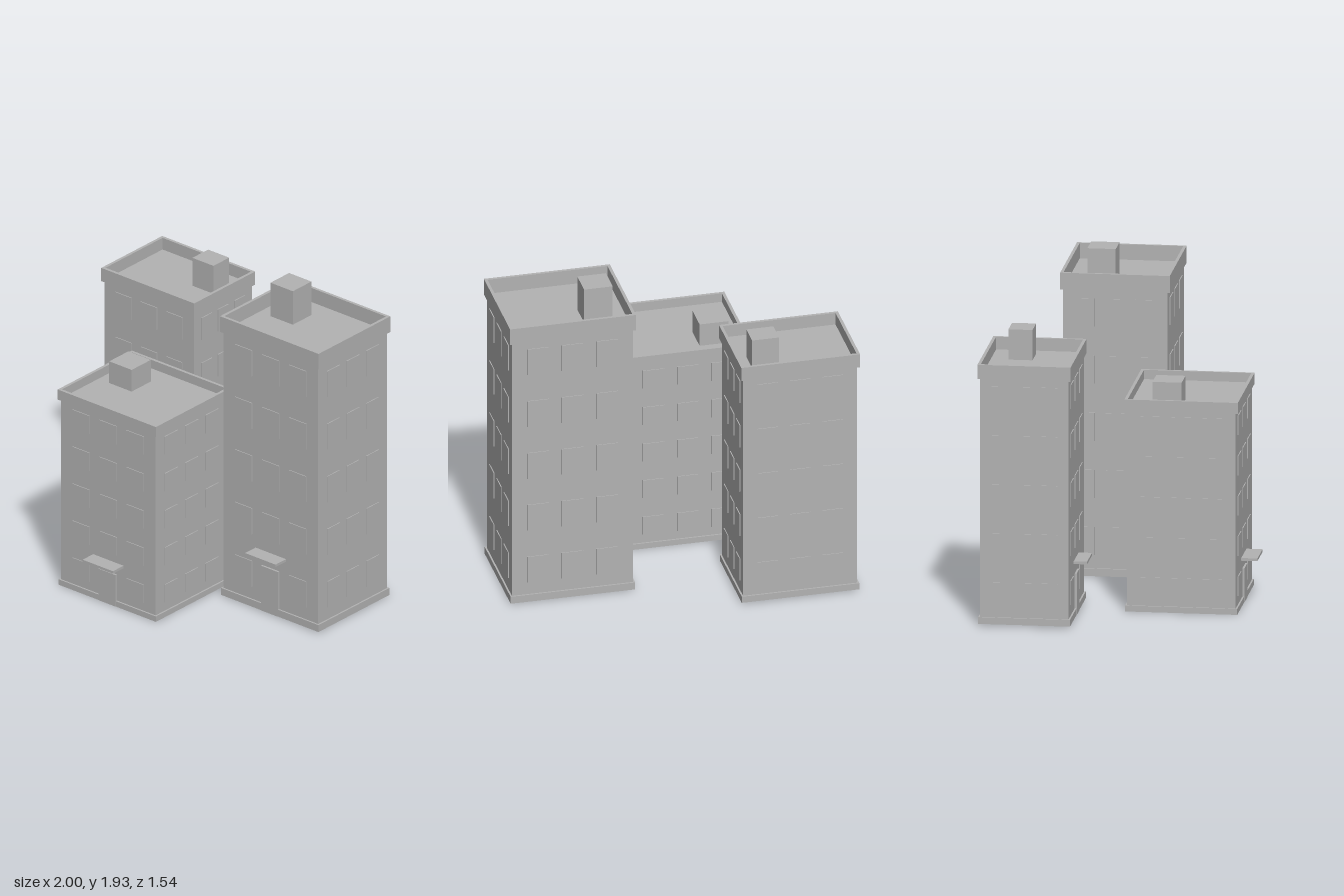
import * as THREE from 'three';

const grey = new THREE.MeshStandardMaterial({ color: 0xb3b3b3 });
grey.name = 'concrete grey';

// Box given by its min and max on each axis
function slab(parent, name, x0, x1, y0, y1, z0, z1) {
  const mesh = new THREE.Mesh(new THREE.BoxGeometry(x1 - x0, y1 - y0, z1 - z0), grey);
  mesh.position.set((x0 + x1) / 2, (y0 + y1) / 2, (z0 + z1) / 2);
  mesh.name = name;
  parent.add(mesh);
  return mesh;
}

const FLOORS = 5;
const COLUMNS = [-0.285, 0, 0.285];
const PLATE = 0.005;

function building(b) {
  const g = new THREE.Group();
  g.name = b.name;
  const [x0, x1] = b.x, [z0, z1] = b.z;
  const w = x1 - x0, d = z1 - z0, cx = (x0 + x1) / 2, cz = (z0 + z1) / 2;

  // Walls and plinth
  slab(g, 'walls', x0, x1, b.bottom, b.rim[0] + 0.01, z0, z1);
  const o = 0.01;
  slab(g, 'plinth', x0 - o, x1 + o, b.bottom, b.baseTop, z0 - o, z1 + o);

  // Parapet: a square ring around the roof
  const p = 0.014, t = 0.018;
  const ring = new THREE.Shape();
  ring.moveTo(-w / 2 - p, -d / 2 - p).lineTo(w / 2 + p, -d / 2 - p)
    .lineTo(w / 2 + p, d / 2 + p).lineTo(-w / 2 - p, d / 2 + p).closePath();
  const hole = new THREE.Path();
  const hx = w / 2 + p - t, hz = d / 2 + p - t;
  hole.moveTo(-hx, -hz).lineTo(-hx, hz).lineTo(hx, hz).lineTo(hx, -hz).closePath();
  ring.holes.push(hole);
  const geo = new THREE.ExtrudeGeometry(ring, { depth: b.rim[1] - b.rim[0], bevelEnabled: false });
  geo.rotateX(-Math.PI / 2);
  const parapet = new THREE.Mesh(geo, grey);
  parapet.position.set(cx, b.rim[0], cz);
  parapet.name = 'parapet';
  g.add(parapet);

  // Roof stair box
  const r = b.roofBox;
  slab(g, 'roofBox', r[0], r[1], b.rim[0], r[4], r[2], r[3]);

  // Windows: three columns on each wall, door in place of the middle one at the front
  const storey = (b.rim[0] - b.bottom) / FLOORS, hh = storey * 0.245;
  for (let i = 0; i < FLOORS; i++) {
    const y = b.bottom + storey * (i + 0.61);
    for (const c of COLUMNS) {
      const x = cx + c * w, z = cz + c * d, wx = w * 0.09, wz = d * 0.09;
      if (i > 0 || c !== 0) slab(g, 'frontWindow', x - wx, x + wx, y - hh, y + hh, z1, z1 + PLATE);
      slab(g, 'backWindow', x - wx, x + wx, y - hh, y + hh, z0 - PLATE, z0);
      slab(g, 'leftWindow', x1, x1 + PLATE, y - hh, y + hh, z - wz, z + wz);
      slab(g, 'rightWindow', x0 - PLATE, x0, y - hh, y + hh, z - wz, z + wz);
    }
  }

  // Door and the canopy over it
  slab(g, 'door', cx - w * 0.09, cx + w * 0.09, b.bottom, b.bottom + storey * 0.85, z1, z1 + 0.012);
  const k = b.canopy;
  slab(g, 'canopy', cx - w * 0.16, cx + w * 0.16, k[0], k[0] + 0.016, z1, k[1]);
  return g;
}

export function createModel() {
  const model = new THREE.Group();
  model.name = 'apartmentBlocks';
  model.add(
    building({
      name: 'backRightBlock', x: [-0.988, -0.31], z: [-0.757, -0.243], bottom: 0.01, baseTop: 0.05,
      rim: [1.465, 1.55], roofBox: [-0.55, -0.39, -0.65, -0.51, 1.655], canopy: [0.324, -0.165],
    }),
    building({
      name: 'frontBlock', x: [-0.537, 0.181], z: [0.039, 0.671], bottom: 0, baseTop: 0.035,
      rim: [1.195, 1.26], roofBox: [-0.45, -0.28, 0.175, 0.345, 1.345], canopy: [0.26, 0.765],
    }),
    building({
      name: 'leftBlock', x: [0.266, 0.986], z: [-0.441, 0.169], bottom: 0.005, baseTop: 0.05,
      rim: [1.702, 1.803], roofBox: [0.355, 0.525, -0.31, -0.145, 1.928], canopy: [0.373, 0.262],
    }),
  );
  return model;
}
